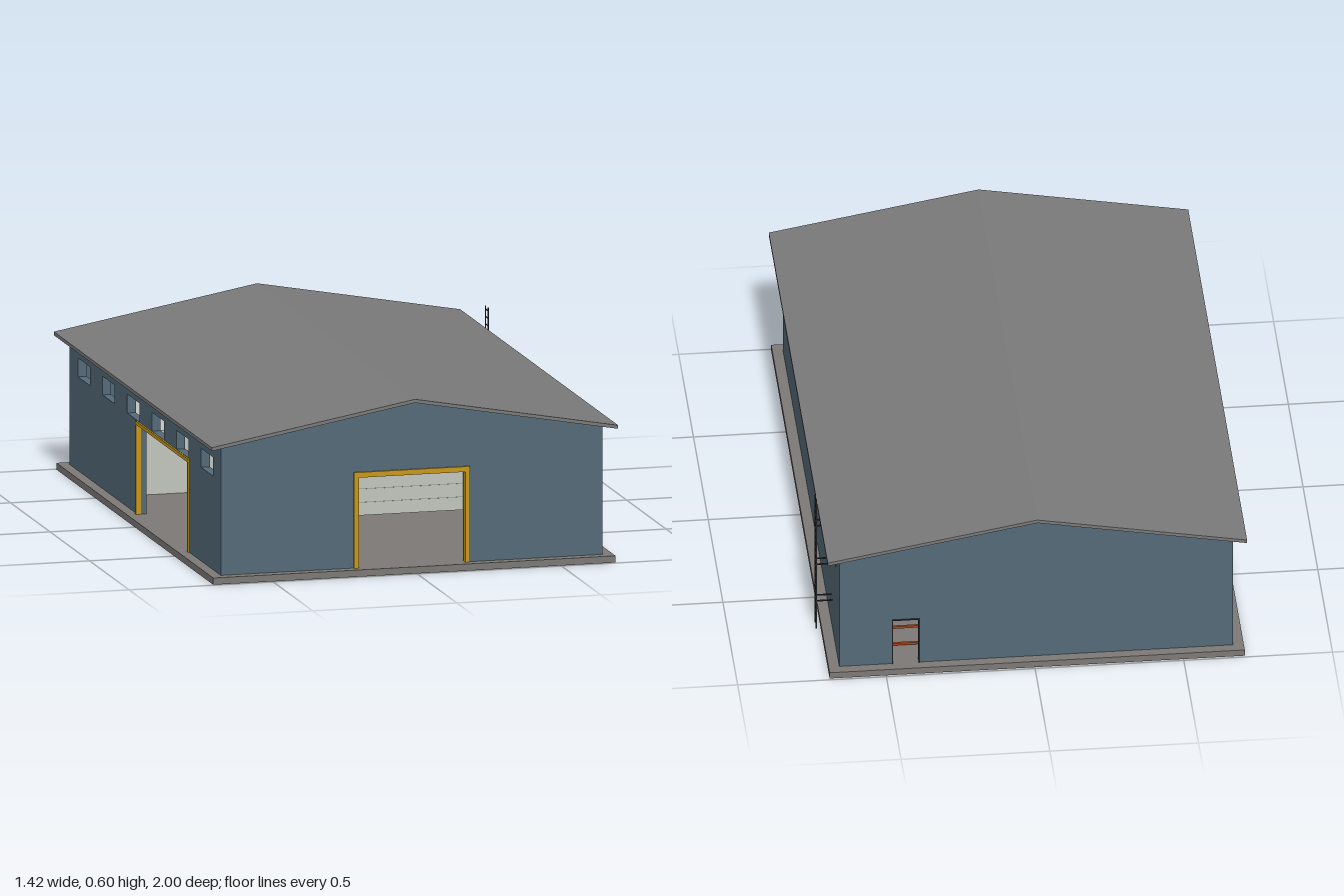
import * as THREE from 'three';

const mat = (name, color, extra = {}) => {
  const m = new THREE.MeshStandardMaterial({ color, ...extra });
  m.name = name;
  return m;
};

export function createModel() {
  const wallBlue = mat('wallBlue', 0x546a78);
  const roofGrey = mat('roofGrey', 0x7a7a7a);
  const slabGrey = mat('concreteGrey', 0x7c7976);
  const yellow = mat('frameYellow', 0xc8981c);
  const panel = mat('panelLight', 0xc2c5bd);
  const seam = mat('seamGrey', 0x8b8e89);
  const steel = mat('darkSteel', 0x2e3033);
  const orange = mat('rackOrange', 0xb5481c);

  const model = new THREE.Group();
  model.name = 'warehouse';
  const hall = new THREE.Group();
  hall.name = 'hall';
  hall.position.x = -0.008;
  model.add(hall);

  const add = (name, geo, material, parent = hall) => {
    const m = new THREE.Mesh(geo, material);
    m.name = name;
    parent.add(m);
    return m;
  };
  // Box given by its minimum and maximum corners
  const box = (name, material, a, b, parent = hall) => {
    const m = add(name, new THREE.BoxGeometry(b[0] - a[0], b[1] - a[1], b[2] - a[2]), material, parent);
    m.position.set((a[0] + b[0]) / 2, (a[1] + b[1]) / 2, (a[2] + b[2]) / 2);
    return m;
  };
  const group = (name) => {
    const g = new THREE.Group();
    g.name = name;
    hall.add(g);
    return g;
  };
  const shapeOf = (pts) => new THREE.Shape(pts.map((p) => new THREE.Vector2(...p)));
  const extrude = (shape, depth) => new THREE.ExtrudeGeometry(shape, { depth, bevelEnabled: false });

  const W = 0.662, L = 0.957, T = 0.03, FLOOR = 0.023;
  const EAVE = 0.465, RIDGE = 0.585;

  // Floor slab
  box('floorSlab', slabGrey, [-0.698, 0, -0.992], [0.698, FLOOR, 0.992]);

  // Pitched roof sheet
  add('roof', extrude(shapeOf([
    [-0.705, 0.458], [0, RIDGE], [0.705, 0.458], [0.705, 0.47], [0, 0.597], [-0.705, 0.47],
  ]), 2), roofGrey).position.z = -1;

  // Gable walls, each with a doorway notch
  const gable = (x0, x1, top) => extrude(shapeOf([
    [-W, FLOOR], [x0, FLOOR], [x0, top], [x1, top], [x1, FLOOR], [W, FLOOR],
    [W, EAVE], [0, RIDGE], [-W, EAVE],
  ]), T);
  add('frontWall', gable(-0.186, 0.186, 0.333), wallBlue).position.z = L - T;
  add('backWall', gable(0.395, 0.481, 0.195), wallBlue).position.z = -L;

  // Long walls with window openings; the gate cuts one of them
  const windows = [0.784, 0.473, 0.161, -0.151, -0.463, -0.776];
  const longWall = (gate) => {
    const e = L - T;
    const pts = [[-e, FLOOR]];
    if (gate) pts.push([-0.552, FLOOR], [-0.552, 0.33], [0.094, 0.33], [0.094, FLOOR]);
    pts.push([e, FLOOR], [e, EAVE], [-e, EAVE]);
    const s = shapeOf(pts);
    for (const z of windows) {
      s.holes.push(new THREE.Path([
        [-z - 0.076, 0.343], [-z - 0.076, 0.407], [-z + 0.076, 0.407], [-z + 0.076, 0.343],
      ].map((p) => new THREE.Vector2(...p))));
    }
    return extrude(s, T).rotateY(Math.PI / 2);
  };
  add('leftWall', longWall(false), wallBlue).position.x = W - T;
  add('rightWall', longWall(true), wallBlue).position.x = -W;

  // Front doorway frame
  const frontFrame = group('frontDoorFrame');
  for (const s of [-1, 1]) {
    const xs = [s * 0.185, s * 0.201].sort((a, b) => a - b);
    box('frontJamb', yellow, [xs[0], FLOOR, L - 0.012], [xs[1], 0.332, L + 0.007], frontFrame);
  }
  box('frontLintel', yellow, [-0.201, 0.332, L - 0.012], [0.201, 0.35, L + 0.007], frontFrame);

  // Sectional door, partly raised
  const door = group('sectionalDoor');
  for (let i = 0; i < 3; i++) {
    const y = 0.195 + i * 0.046;
    box('doorSection', panel, [-0.186, y, 0.915], [0.186, y + 0.044, 0.927], door);
    box('doorSeam', seam, [-0.186, y + 0.044, 0.917], [0.186, y + 0.046, 0.926], door);
  }

  // Side gate frame
  const gate = group('sideGateFrame');
  for (const z of [-0.106, 0.552]) {
    box('gateJamb', yellow, [-W - 0.006, FLOOR, z], [-W + 0.012, 0.342, z + 0.012], gate);
  }
  box('gateLintel', yellow, [-W - 0.006, 0.33, -0.106], [-W + 0.012, 0.342, 0.564], gate);

  // Back door frame
  const backFrame = group('backDoorFrame');
  for (const x of [0.391, 0.481]) {
    box('backJamb', steel, [x, FLOOR, -L - 0.003], [x + 0.004, 0.195, -L + 0.005], backFrame);
  }
  box('backLintel', steel, [0.391, 0.195, -L - 0.003], [0.485, 0.199, -L + 0.005], backFrame);

  // Office room in the back corner
  box('office', panel, [-W + T, FLOOR, -L + T], [-0.124, 0.24, -0.4]);

  // Storage rack
  const rack = group('storageRack');
  for (const z of [-0.86, -0.76]) {
    for (const x of [0.12, 0.36, 0.6]) {
      box('rackPost', orange, [x, FLOOR, z], [x + 0.008, 0.22, z + 0.008], rack);
    }
    for (const y of [0.03, 0.097, 0.162]) {
      box('rackBeam', orange, [0.12, y, z], [0.608, y + 0.008, z + 0.008], rack);
    }
  }

  // Wall ladder with standoffs
  const ladder = group('wallLadder');
  const rails = [-0.72, -0.685];
  for (const z of rails) {
    box('ladderRail', steel, [0.714, FLOOR, z - 0.002], [0.718, 0.537, z + 0.002], ladder);
    for (const y of [0.133, 0.28, 0.435]) {
      box('standoff', steel, [W - 0.002, y - 0.002, z - 0.002], [0.716, y + 0.002, z + 0.002], ladder);
    }
  }
  for (let i = 0; i < 20; i++) {
    const y = 0.04 + i * 0.0255;
    box('rung', steel, [0.7145, y, rails[0]], [0.7175, y + 0.003, rails[1]], ladder);
  }

  return model;
}
